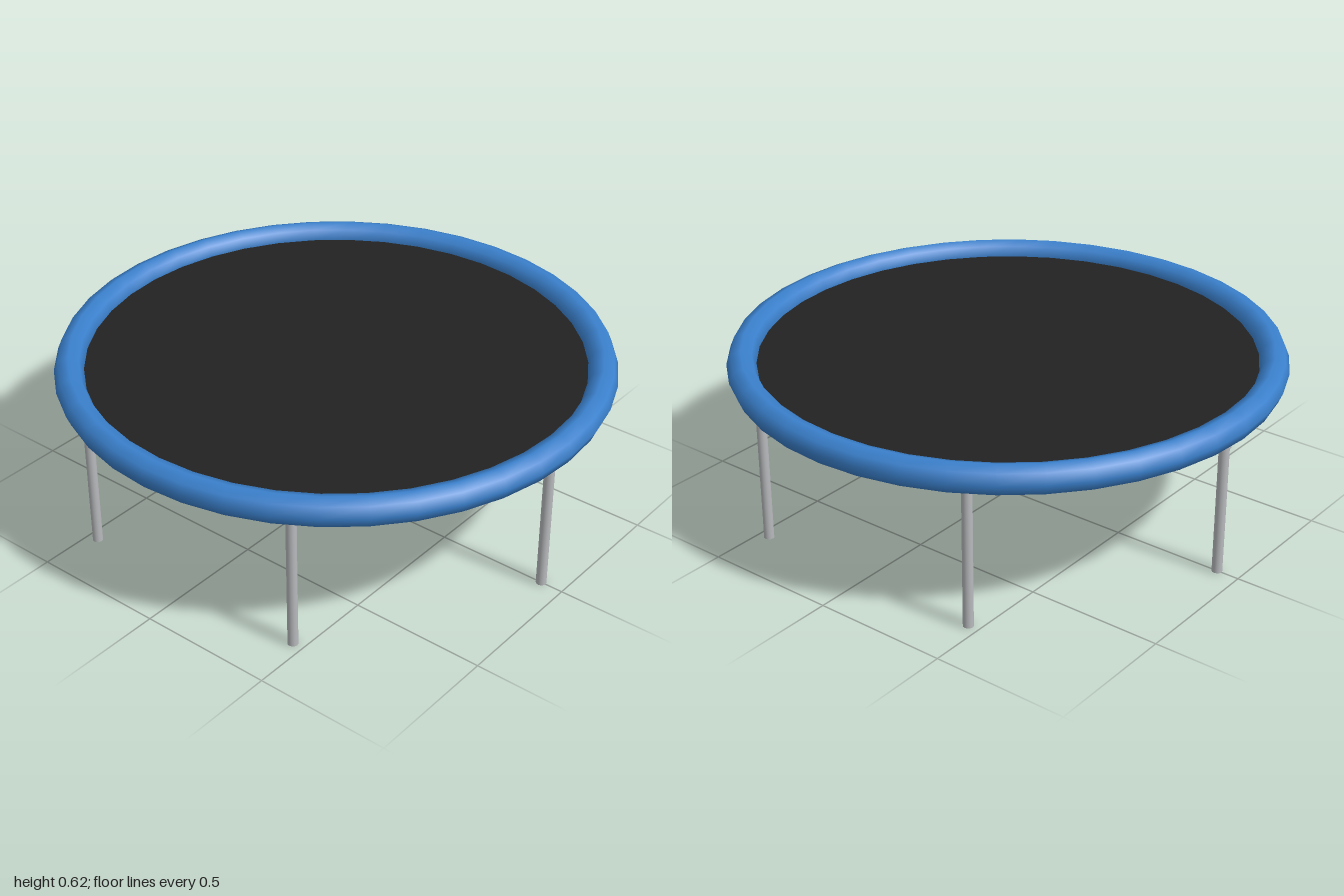
import * as THREE from 'three';

function material(name, color) {
  const m = new THREE.MeshStandardMaterial({ color });
  m.name = name;
  return m;
}

export function createModel() {
  const model = new THREE.Group();
  model.name = 'trampoline';
  const blue = material('paddingBlue', 0x3a80cc);
  const black = material('matBlack', 0x222222);
  const grey = material('legGrey', 0xb8babd);

  const ringY = 0.572;
  const add = (name, geometry, mat, x, y, z) => {
    const mesh = new THREE.Mesh(geometry, mat);
    mesh.name = name;
    mesh.position.set(x, y, z);
    model.add(mesh);
    return mesh;
  };

  // Padded rim
  add('paddedRim', new THREE.TorusGeometry(0.947, 0.053, 8, 40).rotateX(Math.PI / 2), blue, 0, ringY, 0);

  // Jumping mat, its edge tucked into the rim
  add('mat', new THREE.CylinderGeometry(0.915, 0.915, 0.038, 40), black, 0, ringY - 0.018, 0);

  // Six legs evenly spaced under the rim
  const legHeight = 0.55;
  const legGeometry = new THREE.CylinderGeometry(0.0185, 0.0185, legHeight, 12);
  for (let i = 0; i < 6; i++) {
    const a = (i * Math.PI) / 3;
    add('leg' + (i + 1), legGeometry, grey, 0.915 * Math.cos(a), legHeight / 2, 0.915 * Math.sin(a));
  }

  return model;
}
